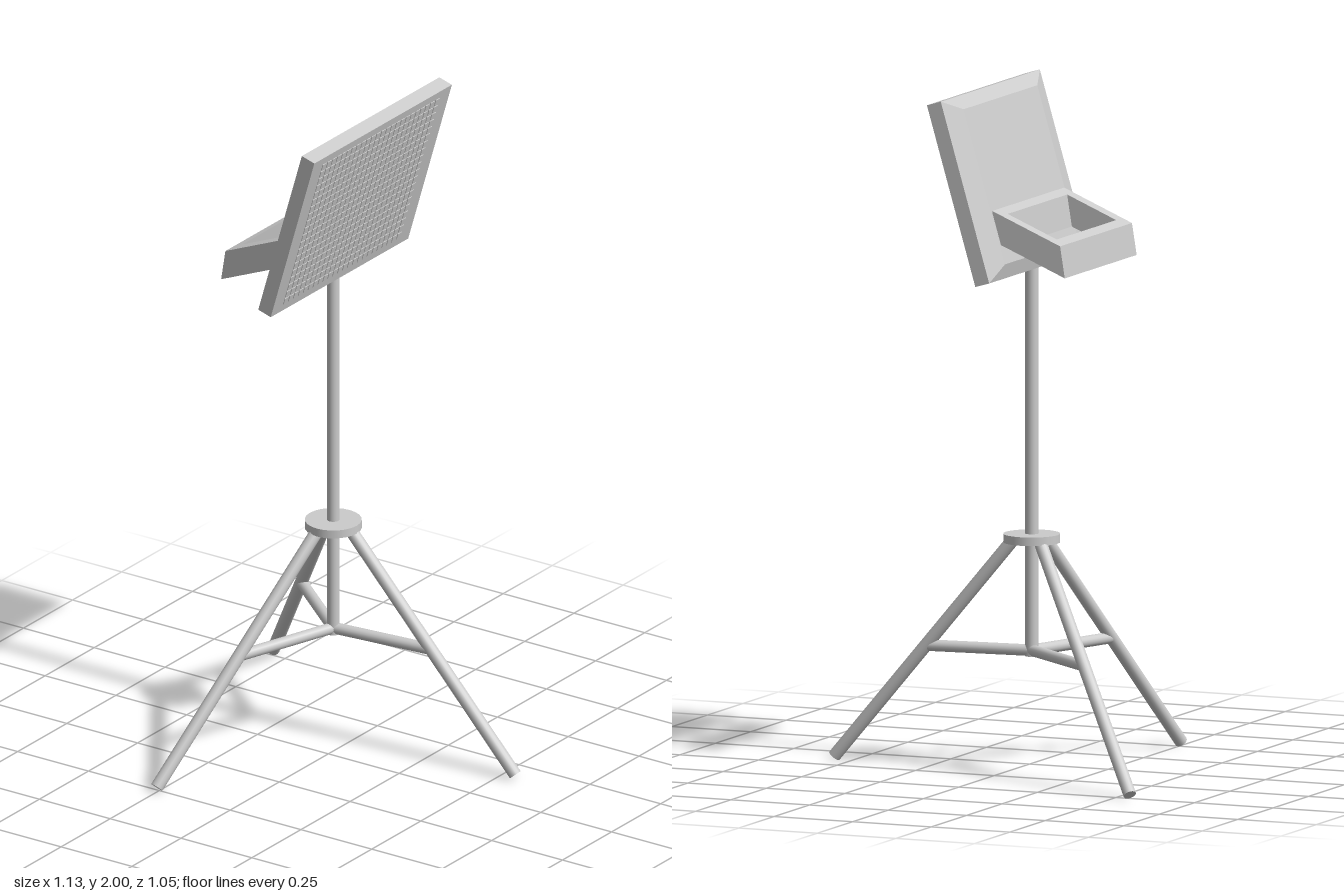
import * as THREE from 'three';
import { mergeGeometries } from 'three/addons/utils/BufferGeometryUtils.js';

export function createModel() {
  const model = new THREE.Group();
  const material = new THREE.MeshStandardMaterial({ color: 0xcccccc });
  const poleX = -0.052, poleZ = -0.1;

  function add(name, geometry, parent = model) {
    const mesh = new THREE.Mesh(geometry, material);
    mesh.name = name;
    parent.add(mesh);
    return mesh;
  }

  // Round bar between two points
  function bar(name, a, b, radius) {
    const dir = b.clone().sub(a);
    const mesh = add(name, new THREE.CylinderGeometry(radius, radius, dir.length(), 16));
    mesh.position.copy(a).add(b).multiplyScalar(0.5);
    mesh.quaternion.setFromUnitVectors(new THREE.Vector3(0, 1, 0), dir.normalize());
    return mesh;
  }

  // Upright pole and the collar that carries the legs
  bar('pole', new THREE.Vector3(poleX, 0.335, poleZ), new THREE.Vector3(poleX, 1.5, poleZ), 0.019);
  const collar = add('collar', new THREE.CylinderGeometry(0.083, 0.083, 0.025, 24));
  collar.position.set(poleX, 0.682, poleZ);

  // Splayed legs, each tied to the pole by a level strut
  const feet = [[0.549, -0.16], [-0.55, -0.513], [-0.253, 0.508]];
  for (const [x, z] of feet) {
    const foot = new THREE.Vector3(x, 0.014, z);
    const out = new THREE.Vector3(x - poleX, 0, z - poleZ).normalize();
    const top = new THREE.Vector3(poleX, 0.68, poleZ).addScaledVector(out, 0.052);
    bar('leg', top, foot, 0.019);
    const joint = top.clone().lerp(foot, (0.68 - 0.352) / (0.68 - 0.014));
    bar('strut', new THREE.Vector3(poleX, 0.352, poleZ), joint, 0.017);
  }

  // Tilted panel; its local +x is the lit face
  const panel = new THREE.Group();
  panel.name = 'lampPanel';
  panel.position.set(0.047, 1.725, poleZ);
  panel.rotation.z = -0.286;
  model.add(panel);
  const W = 0.7, H = 0.546, T = 0.046;
  add('panelBody', new THREE.BoxGeometry(T, H, W), panel).position.x = -T / 2;

  // Back housing: a box whose rear face is drawn in
  const back = new THREE.BoxGeometry(0.022, H, W).toNonIndexed();
  const p = back.attributes.position;
  for (let i = 0; i < p.count; i++) {
    if (p.getX(i) < 0) {
      p.setY(i, Math.sign(p.getY(i)) * 0.233);
      p.setZ(i, Math.sign(p.getZ(i)) * 0.26);
    }
  }
  back.computeVertexNormals();
  add('panelBack', back, panel).position.x = -T - 0.011;

  // Rows of small flat light cells
  const cells = [];
  const cols = 24, rows = 20, pitchZ = 0.6 / cols, pitchY = 0.5 / rows;
  for (let r = 0; r < rows; r++) {
    for (let c = 0; c < cols; c++) {
      const cell = new THREE.BoxGeometry(0.004, pitchY * 0.8, pitchZ * 0.8);
      cell.translate(0, (r + 0.5 - rows / 2) * pitchY, (c + 0.5 - cols / 2) * pitchZ);
      cells.push(cell);
    }
  }
  add('lightCells', mergeGeometries(cells), panel);

  // Open rectangular frame leaning out from the back of the panel
  const frame = new THREE.Shape();
  frame.moveTo(0, -0.353).lineTo(0.216, -0.353).lineTo(0.216, 0.155).lineTo(0, 0.155).closePath();
  const hole = new THREE.Path();
  hole.moveTo(0.03, -0.31).lineTo(0.03, 0.11).lineTo(0.186, 0.11).lineTo(0.186, -0.31).closePath();
  frame.holes.push(hole);
  const bracket = new THREE.ExtrudeGeometry(frame, { depth: 1, bevelEnabled: false });
  bracket.applyMatrix4(new THREE.Matrix4().makeBasis(
    new THREE.Vector3(1, 0.42, 0), new THREE.Vector3(0, 0, 1), new THREE.Vector3(-0.015, -0.093, 0)));
  add('rearFrame', bracket).position.set(-0.256, 1.583, 0);

  return model;
}
